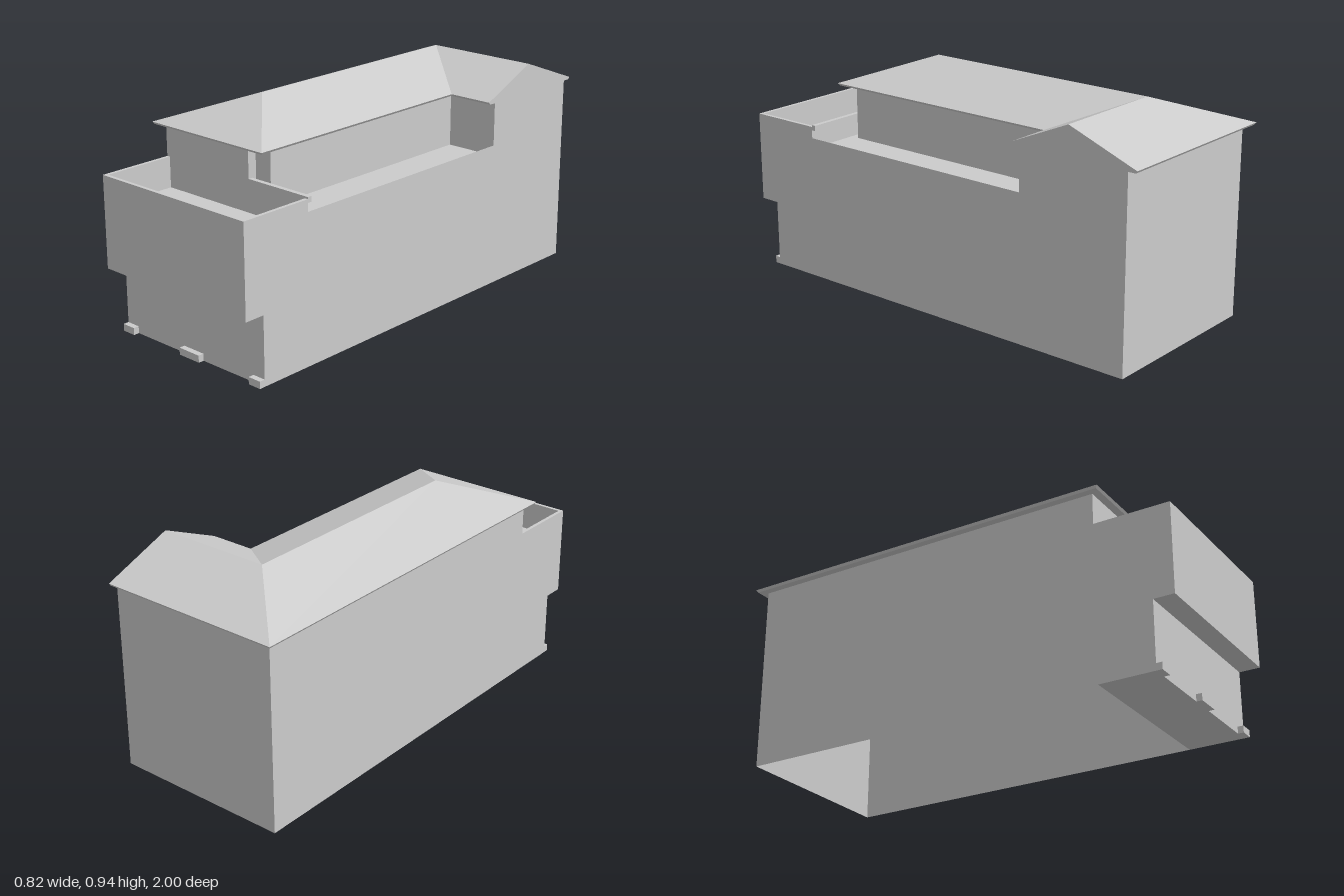
import * as THREE from 'three';

const material = new THREE.MeshStandardMaterial({ color: 0xcccccc, flatShading: true, side: THREE.DoubleSide });

// Flat polygons (lists of [x, y, z] corners) joined into one named mesh
function panels(name, polygons) {
  const positions = [];
  for (const poly of polygons) {
    const pts = poly.map((p) => new THREE.Vector3(...p));
    const normal = new THREE.Vector3();
    pts.forEach((p, i) => normal.add(p.clone().cross(pts[(i + 1) % pts.length])));
    const n = normal.toArray().map(Math.abs);
    const drop = n.indexOf(Math.max(...n));
    const flat = poly.map((p) => new THREE.Vector2(p[(drop + 1) % 3], p[(drop + 2) % 3]));
    for (const tri of THREE.ShapeUtils.triangulateShape(flat, [])) {
      for (const i of tri) positions.push(...poly[i]);
    }
  }
  const geometry = new THREE.BufferGeometry();
  geometry.setAttribute('position', new THREE.Float32BufferAttribute(positions, 3));
  geometry.computeVertexNormals();
  const mesh = new THREE.Mesh(geometry, material);
  mesh.name = name;
  return mesh;
}

// Horizontal polygon from [x, z] corners
const level = (y, pts) => pts.map(([x, z]) => [x, y, z]);

// Polygon in a plane of constant x from [z, y] corners
const side = (x, pts) => pts.map(([z, y]) => [x, y, z]);

// Strips of wall between a lower and an upper outline of [x, z] points
function ribbon(low, y0, y1, high = low) {
  return low.slice(1).map((b, i) => {
    const a = low[i], c = high[i + 1], d = high[i];
    return [[a[0], y0, a[1]], [b[0], y0, b[1]], [c[0], y1, c[1]], [d[0], y1, d[1]]];
  });
}

const rect = (x0, x1, z0, z1) => [[x0, z0], [x1, z0], [x1, z1], [x0, z1]];

function box(name, x0, x1, y0, y1, z0, z1) {
  const mesh = new THREE.Mesh(new THREE.BoxGeometry(x1 - x0, y1 - y0, z1 - z0), material);
  mesh.position.set((x0 + x1) / 2, (y0 + y1) / 2, (z0 + z1) / 2);
  mesh.name = name;
  return mesh;
}

export function createModel() {
  const model = new THREE.Group();
  model.name = 'house';

  const L = -0.375, R = 0.41;          // side walls
  const back = -0.96, front = 0.91, bay = 1.0, upper = 0.67;
  const floorY = 0.585, balconyY = 0.55, railY = 0.68, sillY = 0.63;
  const eaveLow = 0.815, eaveTop = 0.825, ridgeY = 0.942;
  const recessX = 0.175, recessBack = -0.46;

  // Outer walls, with the first floor jutting out at the front
  const frontProfile = [[back, 0], [front, 0], [front, 0.29], [bay, 0.29], [bay, railY], [upper, railY]];
  model.add(panels('leftWall', [side(L, [...frontProfile, [upper, eaveLow], [back, eaveLow]])]));
  model.add(panels('rightWall', [side(R, [
    ...frontProfile, [upper, sillY], [recessBack, sillY], [recessBack, eaveLow], [back, eaveLow],
  ])]));
  model.add(panels('backWall', ribbon([[L, back], [R, back]], 0, eaveLow)));
  model.add(panels('frontWall', [
    ...ribbon([[L, front], [R, front]], 0, 0.29),
    ...ribbon([[L, bay], [R, bay]], 0.29, railY),
    level(0.29, rect(L, R, front, bay)),
  ]));

  // Floors and the partition, leaving the rear open underneath
  model.add(panels('groundFloor', [level(0, rect(L, R, upper, front))]));
  model.add(panels('upperFloor', [level(floorY, rect(L, R, back, upper))]));
  model.add(panels('partition', ribbon([[L, upper], [R, upper]], 0, 0.67)));

  // Front balcony with a thin parapet
  const t = 0.015;
  const inner = [[L + t, upper], [L + t, bay - t], [R - t, bay - t], [R - t, upper]];
  const outer = [[L, upper], [L, bay], [R, bay], [R, upper]];
  model.add(panels('balconyFloor', [level(balconyY, inner)]));
  model.add(panels('balconyParapet', [
    ...ribbon(inner, balconyY, railY),
    level(railY, [...outer, ...inner.slice().reverse()]),
  ]));
  model.add(box('terraceLedge', 0.095, R, 0.665, 0.688, 0.65, upper));

  // Top storey, set back around the side terrace
  model.add(panels('topStoreyWalls', [
    ...ribbon([[L, upper], [0.095, upper]], 0.67, eaveLow),
    ...ribbon([
      [0.095, upper], [0.095, 0.63], [recessX, 0.63], [recessX, recessBack], [R, recessBack],
    ], floorY, eaveLow),
  ]));

  // Hipped roof with a rear wing ending in a gable
  const eave = [[R, -1], [-0.413, -1], [-0.413, 0.71], [0.21, 0.71], [0.21, -0.42], [R, -0.42]];
  const soffit = [[R, -0.993], [-0.406, -0.993], [-0.406, 0.703], [0.203, 0.703], [0.203, -0.427], [R, -0.427]];
  const [e0, e1, e2, e3, e4, e5] = level(eaveTop, eave);
  const ridgeFront = [-0.1, ridgeY, 0.4];
  const ridgeCorner = [-0.1, ridgeY, -0.69];
  const ridgeEnd = [R, ridgeY, -0.69];
  model.add(panels('roof', [
    [e2, e3, ridgeFront],
    [e1, e2, ridgeFront, ridgeCorner],
    [e0, e1, ridgeCorner, ridgeEnd],
    [e3, e4, ridgeCorner, ridgeFront],
    [e4, e5, ridgeEnd, ridgeCorner],
  ]));
  model.add(panels('fascia', ribbon(soffit, eaveLow, eaveTop, eave)));
  model.add(panels('soffit', [level(eaveLow, soffit)]));
  model.add(panels('gable', [side(R, [
    [-0.993, eaveLow], [-1, eaveTop], [-0.69, ridgeY], [-0.42, eaveTop], [-0.427, eaveLow],
  ])]));

  // Small plinth blocks along the front
  for (const [x0, x1] of [[L, -0.312], [-0.037, 0.073], [0.35, R]]) {
    model.add(box('plinthBlock', x0, x1, 0, 0.03, front, 0.935));
  }

  return model;
}
